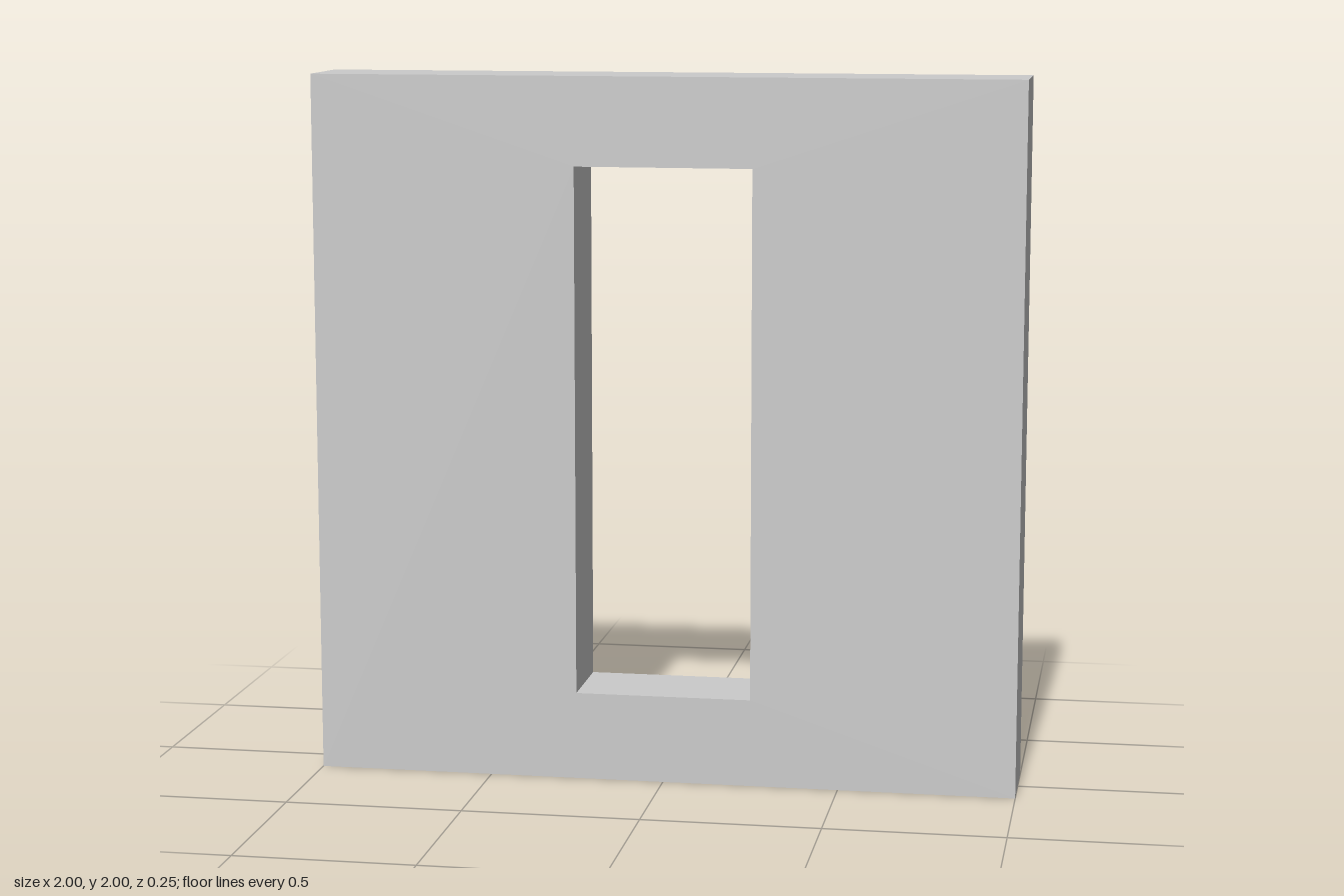
import * as THREE from 'three';

const WIDTH = 2, HEIGHT = 2, DEPTH = 0.25;
const OPENING = { width: 0.5, bottom: 0.25, top: 1.75 };

// Counter-clockwise rectangle centred on x = 0
function rectangle(width, bottom, top) {
  const h = width / 2;
  return [[-h, bottom], [h, bottom], [h, top], [-h, top]].map(([x, y]) => new THREE.Vector2(x, y));
}

export function createModel() {
  const group = new THREE.Group();
  group.name = 'wallWithWindow';

  // Wall slab with a tall window opening cut through it
  const outline = new THREE.Shape(rectangle(WIDTH, 0, HEIGHT));
  const opening = rectangle(OPENING.width, OPENING.bottom, OPENING.top).reverse();
  outline.holes.push(new THREE.Path(opening));

  const geometry = new THREE.ExtrudeGeometry(outline, { depth: DEPTH, bevelEnabled: false });
  geometry.translate(0, 0, -DEPTH / 2);

  const wall = new THREE.Mesh(
    geometry,
    new THREE.MeshStandardMaterial({ color: 0xcccccc, flatShading: true })
  );
  wall.name = 'wall';
  group.add(wall);

  return group;
}
